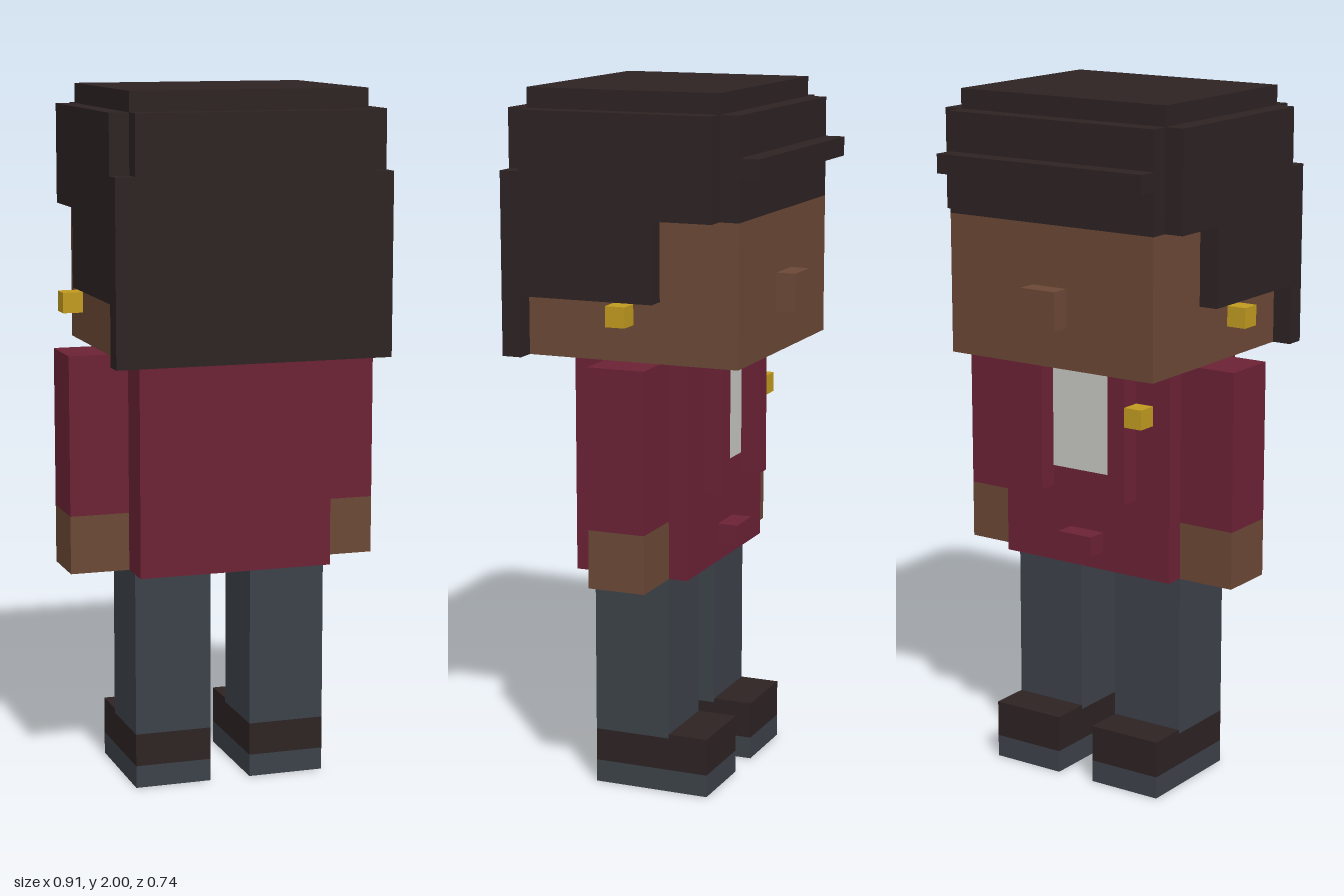
import * as THREE from 'three';

const mat = (name, color) => {
  const m = new THREE.MeshStandardMaterial({ color });
  m.name = name;
  return m;
};

export function createModel() {
  const hair = mat('dark brown', 0x2d2323);
  const skin = mat('brown skin', 0x6b4836);
  const jacket = mat('maroon', 0x6b2235);
  const slate = mat('slate', 0x3c4249);
  const gold = mat('gold', 0xc09a20);
  const white = mat('shirt white', 0xc6c6c2);

  const model = new THREE.Group();
  model.name = 'blockFigure';

  // Box given by its extents along each axis
  const box = (name, material, [x0, x1], [y0, y1], [z0, z1]) => {
    const mesh = new THREE.Mesh(new THREE.BoxGeometry(x1 - x0, y1 - y0, z1 - z0), material);
    mesh.position.set((x0 + x1) / 2, (y0 + y1) / 2, (z0 + z1) / 2);
    mesh.name = name;
    model.add(mesh);
  };
  // The same box on both sides
  const pair = (name, material, [x0, x1], y, z) => {
    box(name + 'Left', material, [x0, x1], y, z);
    box(name + 'Right', material, [-x1, -x0], y, z);
  };
  const mid = (w) => [-w, w];

  // Head; the face looks towards -z
  box('head', skin, mid(0.342), [1.258, 1.657], mid(0.313));
  box('nose', skin, mid(0.057), [1.375, 1.485], [-0.37, -0.313]);
  pair('earring', gold, [0.398, 0.456], [1.372, 1.43], mid(0.029));

  // Hair
  box('hairCore', hair, mid(0.342), [1.657, 1.943], mid(0.313));
  box('hairTop', hair, mid(0.342), [1.943, 2], [-0.257, 0.313]);
  box('fringeBand', hair, mid(0.342), [1.775, 1.83], [-0.37, -0.313]);
  box('hairBack', hair, mid(0.398), [1.258, 1.775], [0.313, 0.37]);
  box('hairBackUpper', hair, mid(0.342), [1.775, 1.943], [0.313, 0.37]);

  // Stepped side panels of the hair
  const steps = [[-0.257, 1.657], [-0.257, 1.943], [0.313, 1.943], [0.313, 1.43], [-0.083, 1.43], [-0.083, 1.657]];
  const side = new THREE.Shape(steps.map(([z, y]) => new THREE.Vector2(-z, y)));
  const sideGeometry = new THREE.ExtrudeGeometry(side, { depth: 0.056, bevelEnabled: false });
  sideGeometry.rotateY(Math.PI / 2);
  for (const [name, x] of [['hairSideLeft', 0.342], ['hairSideRight', -0.398]]) {
    const mesh = new THREE.Mesh(sideGeometry, hair);
    mesh.position.x = x;
    mesh.name = name;
    model.add(mesh);
  }

  // Jacket
  box('torso', jacket, mid(0.284), [0.633, 1.258], [-0.14, 0.2]);
  box('shirtPanel', white, mid(0.114), [0.92, 1.258], [-0.144, -0.139]);
  pair('lapel', jacket, [0.114, 0.171], [0.86, 1.258], [-0.2, -0.14]);
  box('frontButton', jacket, mid(0.057), [0.688, 0.745], [-0.2, -0.14]);
  box('brooch', gold, [-0.228, -0.171], [1.086, 1.143], [-0.2, -0.14]);

  // Arms
  pair('sleeve', jacket, [0.284, 0.456], [0.8, 1.258], mid(0.084));
  pair('hand', skin, [0.284, 0.456], [0.633, 0.8], mid(0.084));

  // Legs and shoes
  pair('leg', slate, [0.06, 0.284], [0.16, 0.633], [-0.083, 0.143]);
  pair('shoeHeel', hair, [0.06, 0.284], [0.065, 0.16], [-0.083, 0.143]);
  pair('shoeToe', hair, [0.06, 0.284], [0.065, 0.172], [-0.2, -0.083]);
  pair('sole', slate, [0.06, 0.284], [0, 0.065], [-0.2, 0.143]);

  return model;
}
